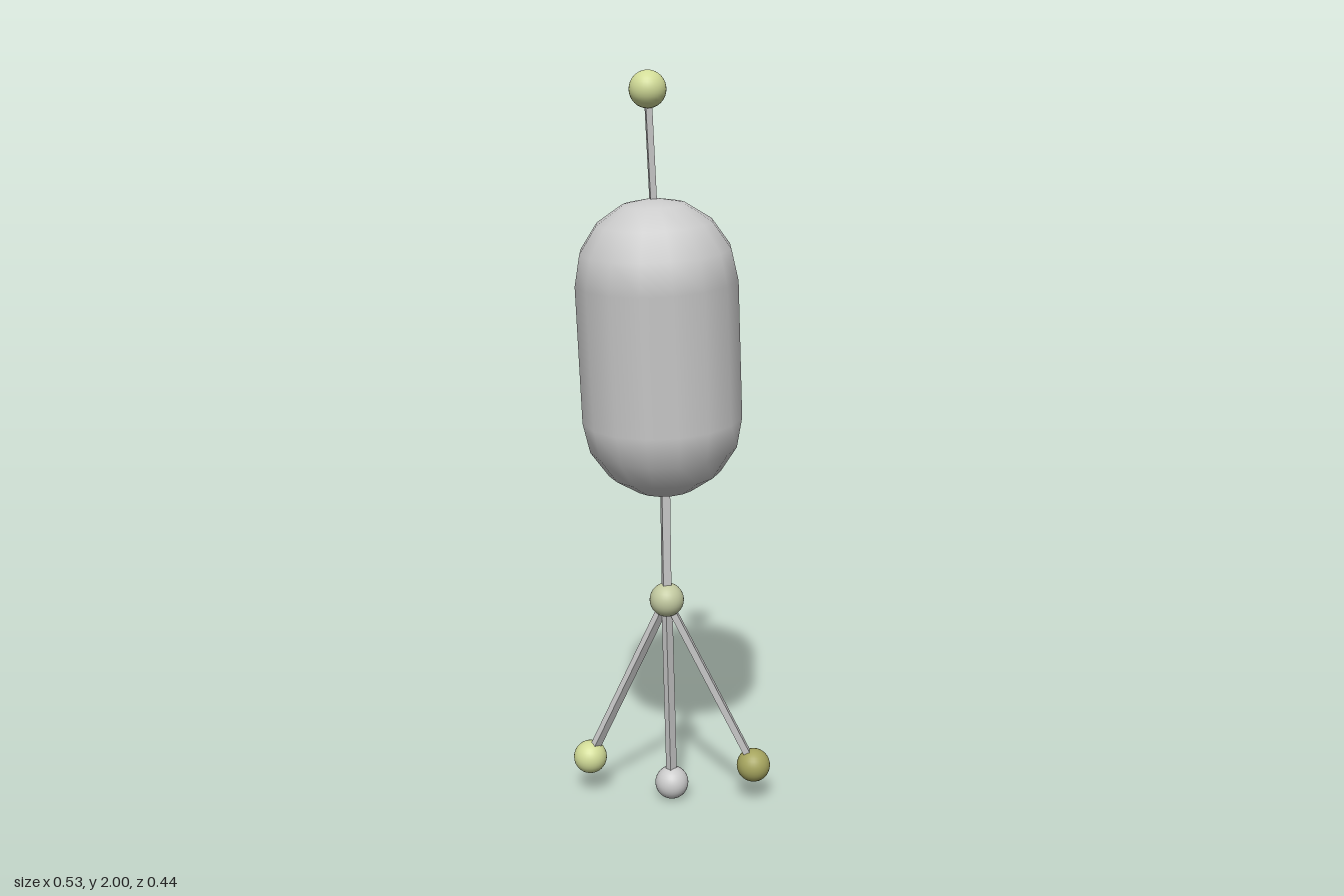
import * as THREE from 'three';

const UP = new THREE.Vector3(0, 1, 0);
const v = (x, y, z) => new THREE.Vector3(x, y, z);

export function createModel() {
  const model = new THREE.Group();
  const grey = new THREE.MeshStandardMaterial({ color: 0xcccccc });
  const paleGreen = new THREE.MeshStandardMaterial({ color: 0xd2dc98 });
  const greyGreen = new THREE.MeshStandardMaterial({ color: 0xc2c9a0 });
  const olive = new THREE.MeshStandardMaterial({ color: 0xa5a45e });

  const add = (name, geometry, material, position) => {
    const mesh = new THREE.Mesh(geometry, material);
    mesh.name = name;
    mesh.position.copy(position);
    model.add(mesh);
    return mesh;
  };
  const ballGeometry = new THREE.SphereGeometry(0.0465, 32, 16);
  const ball = (name, position, material) => add(name, ballGeometry, material, position);

  // Square-edged bar spanning two points
  const rod = (name, a, b, width, depth) => {
    const span = b.clone().sub(a);
    const mesh = add(name, new THREE.BoxGeometry(width, span.length(), depth), grey,
      a.clone().lerp(b, 0.5));
    mesh.quaternion.setFromUnitVectors(UP, span.normalize());
  };

  const hub = v(-0.022, 0.604, -0.034);
  const tip = v(-0.084, 1.9535, 0.044);
  const bodyCentre = v(-0.047, 1.298, 0);
  const axis = v(-0.05, 1, 0.055).normalize();

  // Leaning capsule body
  const body = add('body', new THREE.CapsuleGeometry(0.211, 0.36, 4, 16), grey, bodyCentre);
  body.quaternion.setFromUnitVectors(UP, axis);

  // Antenna above and neck below the body
  rod('antenna', bodyCentre.clone().addScaledVector(axis, 0.36), tip, 0.016, 0.018);
  ball('antennaBall', tip, paleGreen);
  rod('neck', hub, bodyCentre.clone().addScaledVector(axis, -0.36), 0.022, 0.024);
  ball('hubBall', hub, greyGreen);

  // Three legs with ball feet
  const feet = [
    ['right', v(-0.219, 0.11, -0.152), paleGreen],
    ['left', v(0.218, 0.11, -0.003), olive],
    ['middle', v(0, 0.0465, -0.074), grey],
  ];
  for (const [side, foot, material] of feet) {
    rod(side + 'Leg', hub, foot, 0.018, 0.024);
    ball(side + 'Foot', foot, material);
  }
  return model;
}
